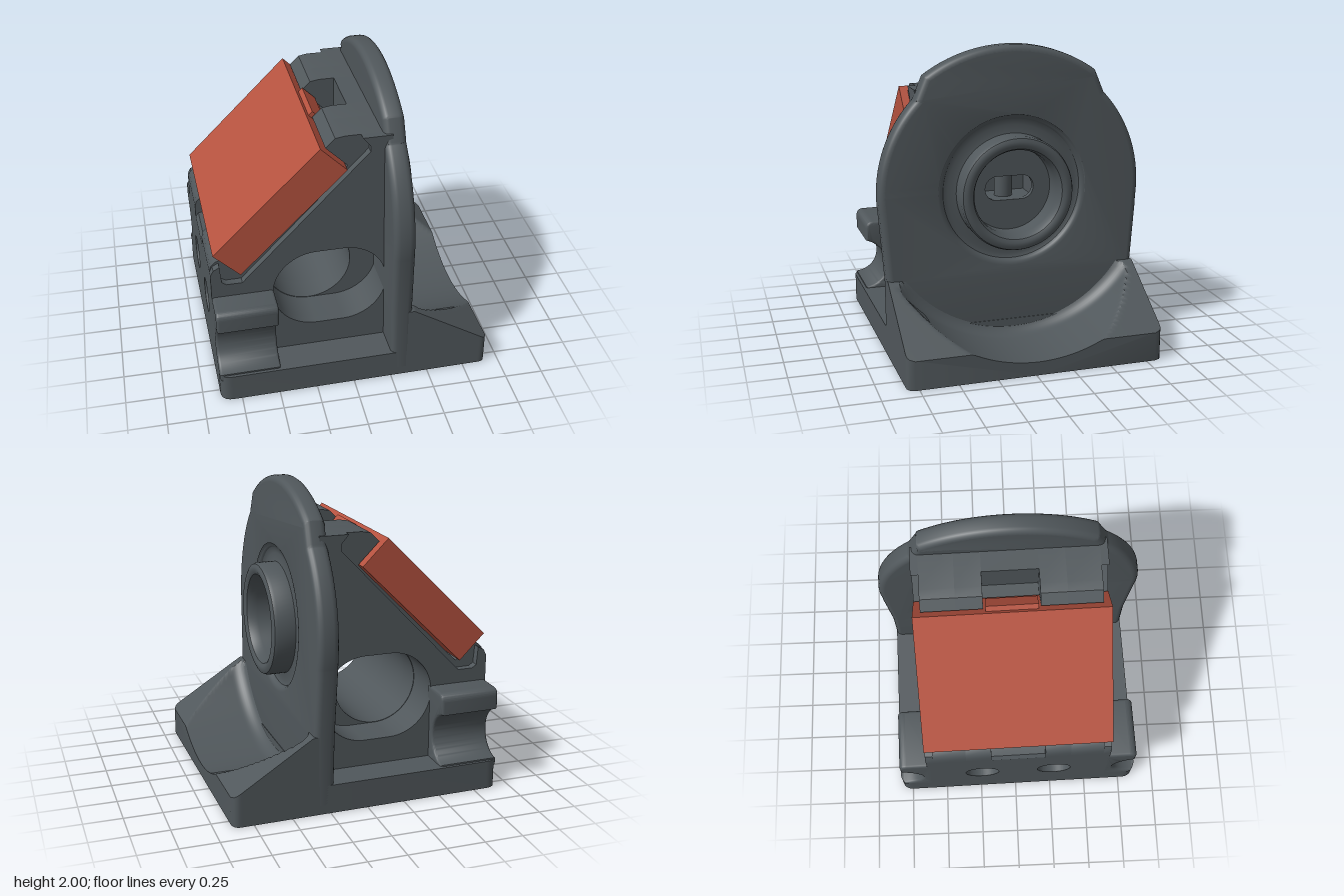
import * as THREE from 'three';
import { toCreasedNormals } from 'three/addons/utils/BufferGeometryUtils.js';

const dark = new THREE.MeshStandardMaterial({ color: 0x50575b });
const red = new THREE.MeshStandardMaterial({ color: 0xb5523f });
const HUB_Y = 1.06;

function mesh(name, geometry, material = dark) {
  const m = new THREE.Mesh(toCreasedNormals(geometry, 0.6), material);
  m.name = name;
  return m;
}

const polygon = (pts) => new THREE.Shape(pts.map(([a, b]) => new THREE.Vector2(a, b)));

// Stadium outline between two end centres; equal centres give a circle
function stadium(x0, x1, y, r, Type = THREE.Path) {
  const p = new Type();
  p.absarc(x1, y, r, -Math.PI / 2, Math.PI / 2, false);
  p.absarc(x0, y, r, Math.PI / 2, Math.PI * 1.5, false);
  p.closePath();
  return p;
}

// Side-profile slab running from z0 to z1
function slab(name, profile, hole, z0, z1) {
  const shape = polygon(profile);
  shape.holes.push(hole);
  const g = new THREE.ExtrudeGeometry(shape, { depth: z1 - z0, bevelEnabled: false, curveSegments: 28 });
  return mesh(name, g.translate(0, 0, z0));
}

// Shape drawn in the z-y plane, extruded from x0 to x1
function crossPlate(shape, x0, x1, bevel = 0) {
  const g = new THREE.ExtrudeGeometry(shape, {
    depth: x1 - x0 - 2 * bevel, curveSegments: 40, bevelEnabled: bevel > 0,
    bevelSize: bevel, bevelThickness: bevel, bevelOffset: -bevel, bevelSegments: 4,
  });
  return g.translate(0, 0, x0 + bevel).rotateY(Math.PI / 2);
}

// Ramp with a round scoop, lofted along x as a height rule
function scoopedRamp() {
  const NX = 40, NZ = 72, ring = NZ + 3, pos = [], idx = [];
  for (let i = 0; i <= NX; i++) {
    const x = 0.34 + 0.56 * i / NX;
    const w = 0.79 + Math.sqrt(Math.max(0, 0.0025 - Math.max(0, x - 0.85) ** 2));
    const slope = 0.52 - 0.635 * Math.max(0, x - 0.38);
    const t = THREE.MathUtils.clamp((x - 0.36) / 0.11, 0, 1);
    const r = 0.86 + 0.11 * Math.sqrt(1 - (1 - t) ** 2);
    for (let j = 0; j <= NZ; j++) {
      const z = w * (2 * j / NZ - 1);
      const scoop = Math.abs(z) < r ? HUB_Y - Math.sqrt(r * r - z * z) : 9;
      pos.push(x, Math.min(slope, scoop), z);
    }
    pos.push(x, 0, w, x, 0, -w);
  }
  for (let i = 0; i < NX; i++) {
    for (let j = 0; j < ring; j++) {
      const a = i * ring + j, b = i * ring + (j + 1) % ring;
      idx.push(a, b, a + ring, b, b + ring, a + ring);
    }
  }
  const centre = pos.length / 3;
  pos.push(0.9, 0, 0);
  for (let j = 0; j < ring; j++) idx.push(centre, NX * ring + j, NX * ring + (j + 1) % ring);
  const g = new THREE.BufferGeometry();
  g.setAttribute('position', new THREE.Float32BufferAttribute(pos, 3));
  g.setIndex(idx);
  g.computeVertexNormals();
  return g;
}

// Round face plate with shoulders and a hub opening
function facePlate() {
  const s = new THREE.Shape();
  s.moveTo(-0.84, 0.06);
  s.lineTo(0.84, 0.06);
  s.lineTo(0.84, 0.5);
  s.lineTo(0.872, 0.9);
  s.absarc(0, HUB_Y, 0.88, -0.12, 0.77, false);
  s.quadraticCurveTo(0.6, 1.75, 0.57, 1.82);
  s.absarc(0, 1.01, 0.99, 0.958, Math.PI - 0.958, false);
  s.quadraticCurveTo(-0.6, 1.75, -0.632, 1.673);
  s.absarc(0, HUB_Y, 0.88, Math.PI - 0.77, Math.PI + 0.12, false);
  s.lineTo(-0.84, 0.5);
  s.holes.push(stadium(0, 0, HUB_Y, 0.46));
  const g = crossPlate(s, 0.2, 0.34, 0.04);
  const p = g.attributes.position;
  for (let i = 0; i < p.count; i++) p.setX(i, p.getX(i) + 0.02 * (2 - p.getY(i)));
  return g;
}

export function createModel() {
  const model = new THREE.Group();
  model.name = 'tiltedPanelBracket';
  const body = new THREE.Group();
  body.name = 'bracket';
  body.rotation.y = 0.018;
  model.add(body);

  // Base with rounded rear corners, then the scooped ramp
  const foot = new THREE.Shape();
  foot.moveTo(0.38, -0.84);
  foot.lineTo(0.38, 0.84);
  foot.lineTo(-0.82, 0.84);
  foot.quadraticCurveTo(-0.9, 0.84, -0.9, 0.76);
  foot.lineTo(-0.9, -0.76);
  foot.quadraticCurveTo(-0.9, -0.84, -0.82, -0.84);
  const footGeo = new THREE.ExtrudeGeometry(foot, { depth: 0.19, bevelEnabled: false });
  body.add(mesh('base', footGeo.rotateX(-Math.PI / 2)));
  body.add(mesh('scoopedRamp', scoopedRamp()));

  // Face plate, raised hub ring and slotted bore floor
  body.add(mesh('facePlate', facePlate()));
  const hub = [[0.5, 0.36], [0.47, 0.335], [0.43, 0.325], [0.375, 0.335], [0.375, 0.45], [0.366, 0.472],
    [0.345, 0.482], [0.32, 0.482], [0.298, 0.47], [0.285, 0.44], [0.28, 0.4], [0.28, 0.26]];
  const hubGeo = new THREE.LatheGeometry(hub.map(([r, x]) => new THREE.Vector2(r, x)), 72);
  body.add(mesh('hubRing', hubGeo.rotateZ(-Math.PI / 2).translate(0, HUB_Y, 0)));
  const floor = stadium(0, 0, HUB_Y, 0.285, THREE.Shape);
  floor.holes.push(stadium(-0.085, 0.085, HUB_Y, 0.08));
  body.add(mesh('boreFloor', crossPlate(floor, 0.24, 0.28)));
  const post = mesh('slotPost', new THREE.CylinderGeometry(0.06, 0.06, 0.2, 24));
  post.position.set(0.14, HUB_Y, 0);
  body.add(post);

  // Housing: slabs across z, with a through hole and wider side recesses
  const lower = [[0.26, 0.15], [0.26, 1.73]];
  const rear = [[-0.9, 0.77], [-0.8, 0.77], [-0.8, 0.15]];
  const lip = [[-0.82, 0.93], [-0.86, 0.92], [-0.89, 0.89], [-0.9, 0.85]];
  const inner = [...lower, [-0.03, 1.73], [-0.09, 1.72], [-0.15, 1.66], [-0.01, 1.52], [-0.7, 0.82], ...lip, ...rear];
  const outer = [...lower, [0.07, 1.73], [0.12, 1.67], [0.12, 1.63], [-0.7, 0.77], [-0.8, 0.77],
    [-0.83, 0.79], [-0.84, 0.91], [-0.88, 0.89], [-0.9, 0.85], ...rear];
  const centre = [[0.26, 0.15], [0.26, 0.98], [0.02, 0.98], [0.02, 1.14], [0.26, 1.14], [0.26, 1.73],
    [0.07, 1.73], [0.07, 1.5], [-0.03, 1.5], [-0.7, 0.82], [-0.74, 0.8], [-0.88, 0.8], ...rear];
  const bore = () => stadium(-0.22, -0.22, 0.65, 0.283);
  const recess = () => stadium(-0.22, -0.045, 0.65, 0.286);
  body.add(slab('housingCentre', centre, bore(), -0.18, 0.18));
  for (const [name, profile, hole, a, b] of [
    ['housingCore', inner, bore, 0.18, 0.35],
    ['housingSide', inner, recess, 0.35, 0.57],
    ['housingCheek', outer, recess, 0.57, 0.62],
  ]) {
    body.add(slab(name, profile, hole(), a, b));
    body.add(slab(name, profile, hole(), -b, -a));
  }

  // Rear wall with two round pockets
  const wall = polygon([[-0.62, 0.15], [0.62, 0.15], [0.62, 0.77], [-0.62, 0.77]]);
  for (const z of [-0.25, 0.25]) wall.holes.push(stadium(z, z, 0.42, 0.115));
  body.add(mesh('rearWall', crossPlate(wall, -0.9, -0.79)));

  // Scalloped ears at the rear corners
  for (const s of [-1, 1]) {
    const ear = new THREE.Shape();
    ear.moveTo(0.58 * s, 0.15);
    ear.lineTo(0.82 * s, 0.15);
    ear.lineTo(0.82 * s, 0.2);
    ear.bezierCurveTo(0.62 * s, 0.22, 0.62 * s, 0.48, 0.81 * s, 0.54);
    ear.lineTo(0.81 * s, 0.63);
    ear.quadraticCurveTo(0.81 * s, 0.68, 0.76 * s, 0.68);
    ear.lineTo(0.58 * s, 0.68);
    body.add(mesh('rearEar', crossPlate(ear, -0.9, -0.5, 0.02)));
  }

  // Tilted panel with a connector on its upper end
  const panel = new THREE.Group();
  panel.name = 'tiltedPanel';
  panel.position.set(-0.45, 1.26, 0);
  panel.rotation.z = Math.PI / 4;
  panel.add(mesh('panelBlock', new THREE.BoxGeometry(0.97, 0.24, 1.24), red));
  const plug = mesh('panelConnector', new THREE.BoxGeometry(0.1, 0.12, 0.33), red);
  plug.position.set(0.47, 0.03, 0);
  panel.add(plug);
  body.add(panel);

  return model;
}
